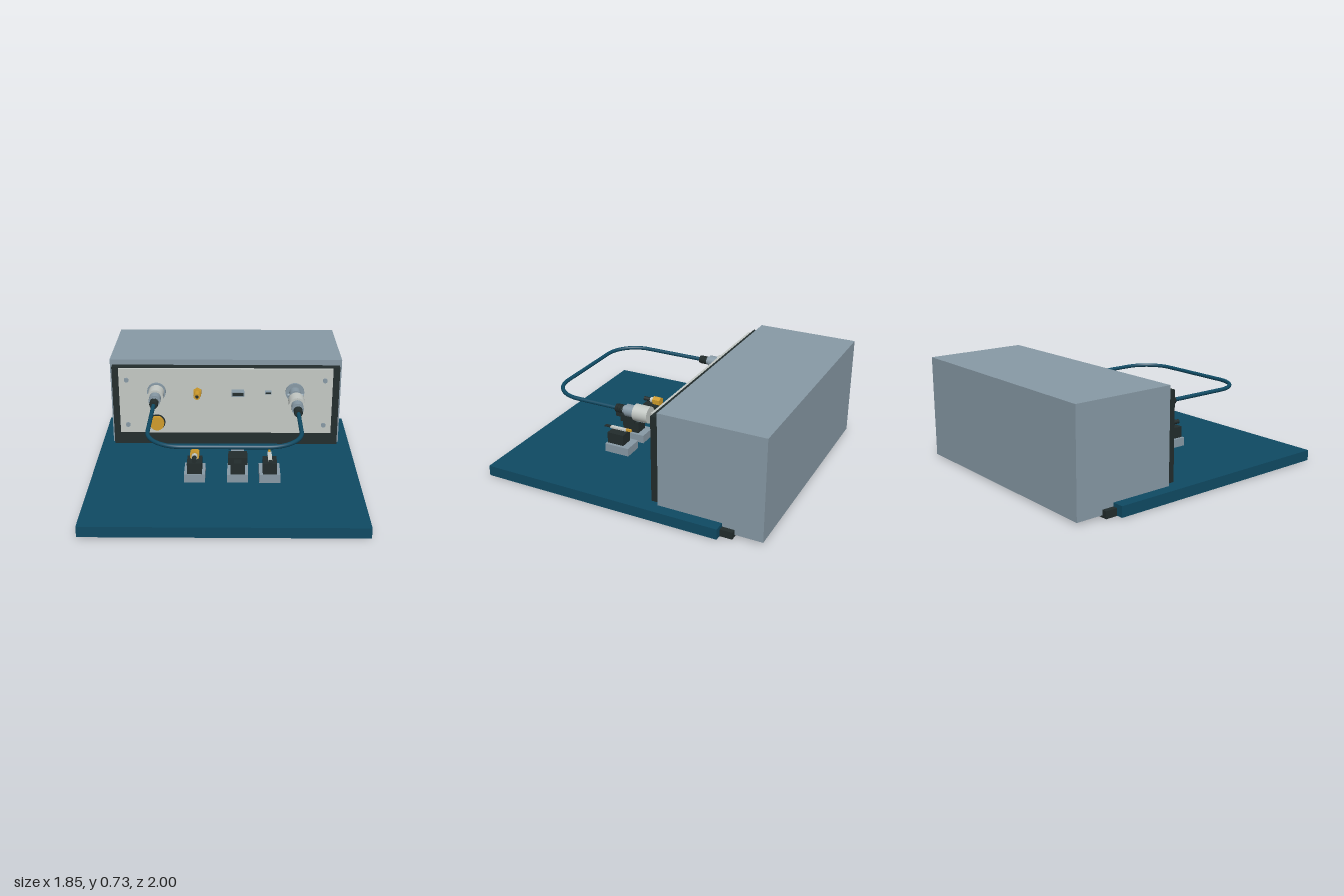
import * as THREE from 'three';

const mat = (name, color, flatShading = false) => {
  const m = new THREE.MeshStandardMaterial({ color });
  m.name = name;
  return m;
};

export function createModel() {
  const root = new THREE.Group();
  root.name = 'instrumentBench';
  const teal = mat('deepTeal', 0x0f4a63);
  const steel = mat('blueGreySteel', 0x8799a5);
  const pale = mat('paleGrey', 0xc3c8c4);
  const dark = mat('charcoal', 0x222c2c);
  const gold = mat('brass', 0xcf9b2c);

  const add = (parent, name, geometry, material) => {
    const mesh = new THREE.Mesh(geometry, material);
    mesh.name = name;
    parent.add(mesh);
    return mesh;
  };
  // Box given by its limits on each axis
  const box = (parent, name, material, [x0, x1], [y0, y1], [z0, z1]) => {
    const m = add(parent, name, new THREE.BoxGeometry(x1 - x0, y1 - y0, z1 - z0), material);
    m.position.set((x0 + x1) / 2, (y0 + y1) / 2, (z0 + z1) / 2);
    return m;
  };
  // Cylinder lying along z, from z0 (back) to z1 (front)
  const rod = (parent, name, material, x, y, z0, z1, r, sides = 32, rFront = r) => {
    const g = new THREE.CylinderGeometry(rFront, r, z1 - z0, sides).rotateX(Math.PI / 2);
    const m = add(parent, name, sides < 9 ? g.toNonIndexed() : g, material);
    if (sides < 9) m.geometry.computeVertexNormals();
    m.position.set(x, y, (z0 + z1) / 2);
    return m;
  };
  const group = (name) => {
    const g = new THREE.Group();
    g.name = name;
    root.add(g);
    return g;
  };

  // Base board and its feet
  box(root, 'baseBoard', teal, [-0.925, 0.925], [0.001, 0.075], [-0.725, 1]);
  for (const x of [-0.82, 0.82]) for (const z of [-0.75, 0.9]) {
    box(root, 'foot', dark, [x - 0.06, x + 0.06], [0, 0.05], [z - 0.06, z + 0.06]);
  }

  // Cabinet, bezel and front panel
  box(root, 'cabinet', steel, [-0.845, 0.845], [0.015, 0.73], [-1, -0.275]);
  box(root, 'bezel', dark, [-0.828, 0.828], [0.085, 0.69], [-0.28, -0.22]);
  box(root, 'frontPanel', pale, [-0.777, 0.777], [0.185, 0.685], [-0.225, -0.198]);
  for (const x of [-0.72, 0.72]) for (const y of [0.25, 0.6]) {
    rod(root, 'panelScrew', steel, x, y, -0.2, -0.187, 0.017, 20);
  }

  // Brass push button with dark surround
  rod(root, 'buttonSurround', dark, -0.505, 0.27, -0.2, -0.188, 0.06);
  rod(root, 'button', gold, -0.505, 0.27, -0.19, -0.16, 0.053);

  // Panel sockets between the two round connectors
  const Y = 0.512;
  rod(root, 'coaxNut', gold, -0.205, Y, -0.2, -0.155, 0.032, 6);
  rod(root, 'coaxBarrel', gold, -0.205, Y, -0.16, -0.093, 0.024, 24);
  rod(root, 'coaxCore', dark, -0.205, Y, -0.1, -0.09, 0.012, 16);
  box(root, 'widePort', steel, [0.043, 0.135], [0.494, 0.53], [-0.2, -0.14]);
  box(root, 'widePortSlot', dark, [0.05, 0.128], [0.5, 0.524], [-0.145, -0.138]);
  box(root, 'smallPort', steel, [0.287, 0.333], [0.502, 0.522], [-0.2, -0.17]);
  box(root, 'smallPortSlot', dark, [0.291, 0.329], [0.506, 0.518], [-0.175, -0.168]);

  // Round sockets with bayonet pegs, and the plugs on the cable ends
  const connector = (name, x, z) => {
    const g = group(name);
    rod(g, 'socketFlange', steel, x, Y, -0.2, -0.18, 0.068);
    rod(g, 'socketCollar', steel, x, Y, -0.182, -0.108, 0.042);
    rod(g, 'socketFace', dark, x, Y, -0.11, -0.105, 0.03);
    const pegs = add(g, 'bayonetPegs', new THREE.CylinderGeometry(0.011, 0.011, 0.115, 16).rotateZ(Math.PI / 2), steel);
    pegs.position.set(x, Y, -0.132);
    rod(g, 'plugSleeve', pale, x, Y, z, z + 0.108, 0.057);
    rod(g, 'plugBody', steel, x, Y, z + 0.1, z + 0.175, 0.042);
    rod(g, 'plugNeck', steel, x, Y, z + 0.17, z + 0.2, 0.03);
    for (let i = 0; i < 3; i++) {
      rod(g, 'strainRelief', dark, x, Y, z + 0.195 + i * 0.02, z + 0.215 + i * 0.02, 0.031, 24, 0.027);
    }
  };
  connector('leftwardPluggedConnector', -0.503, -0.18);
  connector('unpluggedConnector', 0.503, -0.04);

  // Cable with two rounded corners
  const v = (x, z) => new THREE.Vector3(x, Y, z);
  const path = new THREE.CurvePath();
  const R = 0.23, X = 0.503, Z = 0.752, k = R * 0.448;
  path.add(new THREE.LineCurve3(v(-X, 0.05), v(-X, Z - R)));
  path.add(new THREE.CubicBezierCurve3(v(-X, Z - R), v(-X, Z - k), v(-X + k, Z), v(-X + R, Z)));
  path.add(new THREE.LineCurve3(v(-X + R, Z), v(X - R, Z)));
  path.add(new THREE.CubicBezierCurve3(v(X - R, Z), v(X - k, Z), v(X, Z - k), v(X, Z - R)));
  path.add(new THREE.LineCurve3(v(X, Z - R), v(X, 0.19)));
  add(root, 'cable', new THREE.TubeGeometry(path, 120, 0.014, 14), teal);

  // Three stands on the board, each holding a spare plug
  const stand = (name, x, w) => {
    const g = group(name);
    box(g, 'standBlock', steel, [x - 0.072, x + 0.072], [0.07, 0.135], [0.21, 0.395]);
    box(g, 'cradle', dark, [x - w, x + w], [0.13, 0.215], [0.262, 0.388]);
    return g;
  };
  const coax = stand('coaxStand', -0.208, 0.051);
  rod(coax, 'plugNut', gold, -0.208, 0.24, 0.26, 0.318, 0.035, 6);
  rod(coax, 'plugCollar', pale, -0.208, 0.24, 0.31, 0.345, 0.021, 24);
  rod(coax, 'plugTail', dark, -0.208, 0.24, 0.34, 0.4, 0.016, 20);

  const wide = stand('widePlugStand', 0.088, 0.05);
  box(wide, 'plugShell', steel, [0.043, 0.133], [0.226, 0.256], [0.215, 0.295]);
  box(wide, 'plugGrip', dark, [0.023, 0.153], [0.212, 0.265], [0.287, 0.4]);
  box(wide, 'plugTail', dark, [0.062, 0.114], [0.222, 0.255], [0.395, 0.46]);

  const thin = stand('thinPlugStand', 0.308, 0.048);
  box(thin, 'plugTip', gold, [0.3, 0.316], [0.234, 0.25], [0.22, 0.262]);
  box(thin, 'plugBody', pale, [0.294, 0.322], [0.234, 0.246], [0.258, 0.385]);
  box(thin, 'plugTail', dark, [0.295, 0.321], [0.236, 0.244], [0.38, 0.432]);

  return root;
}
